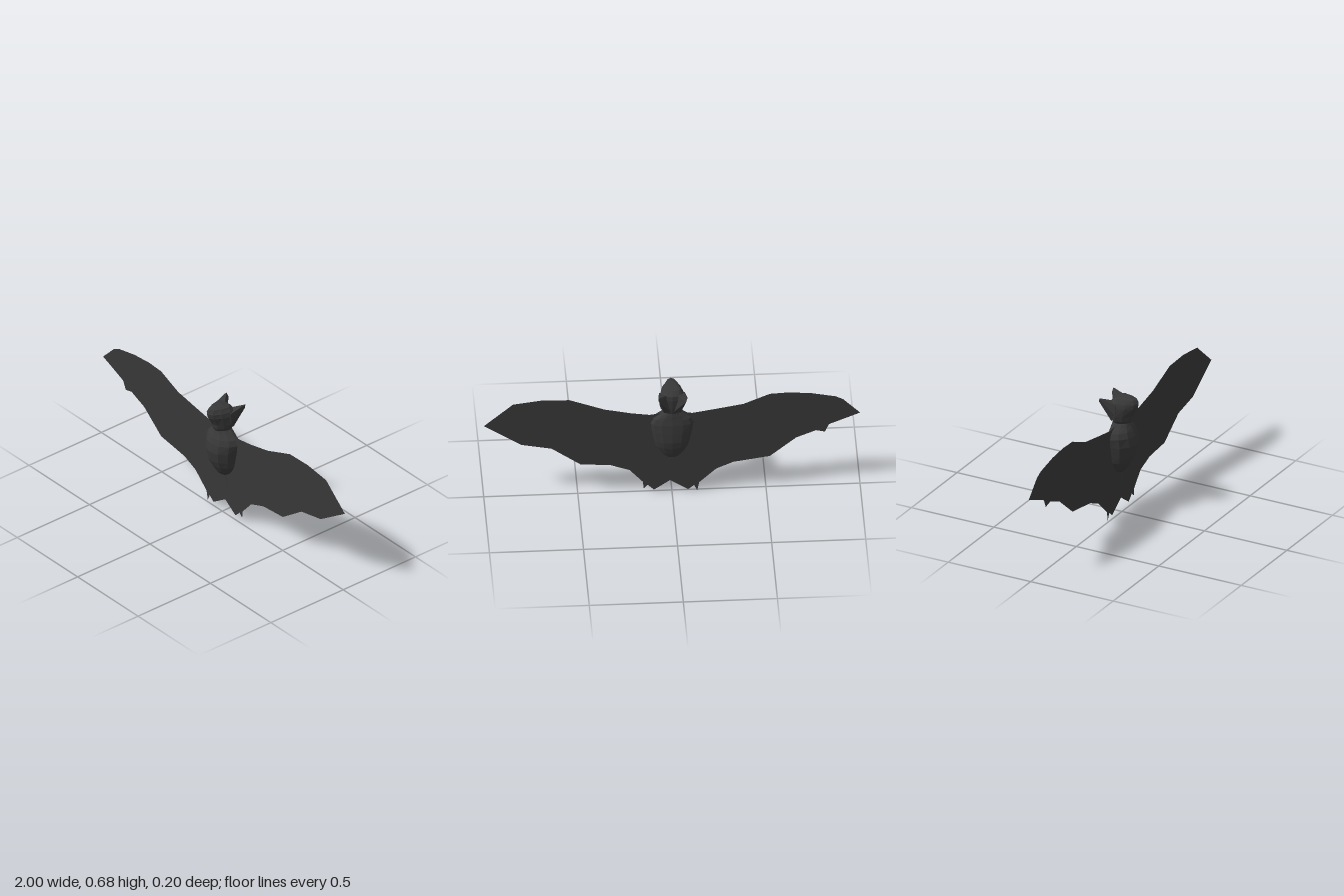
import * as THREE from 'three';
import { ConvexGeometry } from 'three/addons/geometries/ConvexGeometry.js';

// Lofts egg-shaped rings; each section is [y, halfWidth, zFront, zBack], bottom to top
function loft(sections, sides, mid, pinch) {
  const pos = [], idx = [];
  for (const [y, w, zf, zb] of sections) {
    const c = THREE.MathUtils.clamp(mid, zb, zf);
    for (let i = 0; i < sides; i++) {
      const a = (i / sides) * Math.PI * 2, s = Math.sin(a);
      const x = w * Math.cos(a) * (1 - pinch * Math.max(0, s));
      pos.push(x, y, c + s * (s > 0 ? zf - c : c - zb));
    }
  }
  for (let r = 0; r < sections.length - 1; r++) {
    for (let i = 0; i < sides; i++) {
      const a = r * sides + i, b = r * sides + (i + 1) % sides;
      idx.push(a, a + sides, b, b, a + sides, b + sides);
    }
  }
  const g = new THREE.BufferGeometry();
  g.setAttribute('position', new THREE.Float32BufferAttribute(pos, 3));
  g.setIndex(idx);
  const flat = g.toNonIndexed();
  flat.computeVertexNormals();
  return flat;
}

export function createModel() {
  const bat = new THREE.Group();
  bat.name = 'bat';
  const fur = new THREE.MeshStandardMaterial({ color: 0x383838 });
  fur.name = 'charcoal';
  fur.flatShading = true;
  fur.side = THREE.DoubleSide;
  const add = (name, geometry) => {
    const mesh = new THREE.Mesh(geometry, fur);
    mesh.name = name;
    bat.add(mesh);
    return mesh;
  };

  // Flat wing membrane with scalloped trailing edge and small feet
  const outline = [
    [-1, .475], [-.91, .567], [-.87, .588], [-.74, .615], [-.62, .625], [-.52, .62],
    [-.38, .56], [-.24, .535], [-.11, .513], [0, .525], [.12, .51], [.22, .525], [.36, .556],
    [.545, .626], [.695, .63], [.845, .61], [1, .475], [.8, .342], [.64, .31],
    [.487, .2], [.326, .187], [.225, .15], [.155, .07], [.15, .027], [.13, .05],
    [.096, .016], [.064, .037], [.01, .075], [-.086, .011], [-.118, .037],
    [-.134, 0], [-.144, .053], [-.235, .14], [-.326, .18], [-.52, .21],
    [-.66, .326], [-.765, .369], [-.813, .358], [-.834, .406],
  ].map(([x, y]) => new THREE.Vector2(x, y));
  add('wings', new THREE.ShapeGeometry(new THREE.Shape(outline))).position.z = -.012;

  // Torso
  add('body', loft([
    [.232, 0, -.01, -.01], [.235, .022, .003, -.025], [.25, .045, .02, -.032],
    [.27, .062, .036, -.04], [.31, .085, .06, -.053], [.35, .095, .077, -.06],
    [.41, .107, .087, -.06], [.46, .114, .08, -.057], [.49, .1, .068, -.052],
    [.515, .065, .054, -.049], [.533, .043, .046, -.046], [.533, 0, 0, 0],
  ], 12, -.018, .1));

  // Head with forward snout
  add('head', loft([
    [.53, 0, 0, 0], [.53, .044, .047, -.045], [.55, .06, .063, -.05],
    [.577, .067, .067, -.054], [.627, .068, .096, -.058], [.652, .062, .101, -.055],
    [.675, .045, .09, -.03], [.682, .026, .056, .01], [.682, 0, .035, .035],
  ], 12, -.01, .2));

  // Swept-back ears
  for (const side of [1, -1]) {
    const points = [
      [.07, .59, -.005], [.068, .645, 0], [.018, .65, -.03], [.005, .545, -.045],
      [.045, .54, -.04], [.04, .61, 0], [.078, .674, -.094], [.07, .65, -.1],
    ].map(([x, y, z]) => new THREE.Vector3(x * side, y, z));
    add(side > 0 ? 'leftEar' : 'rightEar', new ConvexGeometry(points));
  }

  // Thin tail lying along the membrane
  const tail = add('tail', new THREE.ConeGeometry(.005, .1, 5));
  tail.position.set(.018, .205, -.011);
  tail.rotation.z = Math.PI + .35;

  return bat;
}
